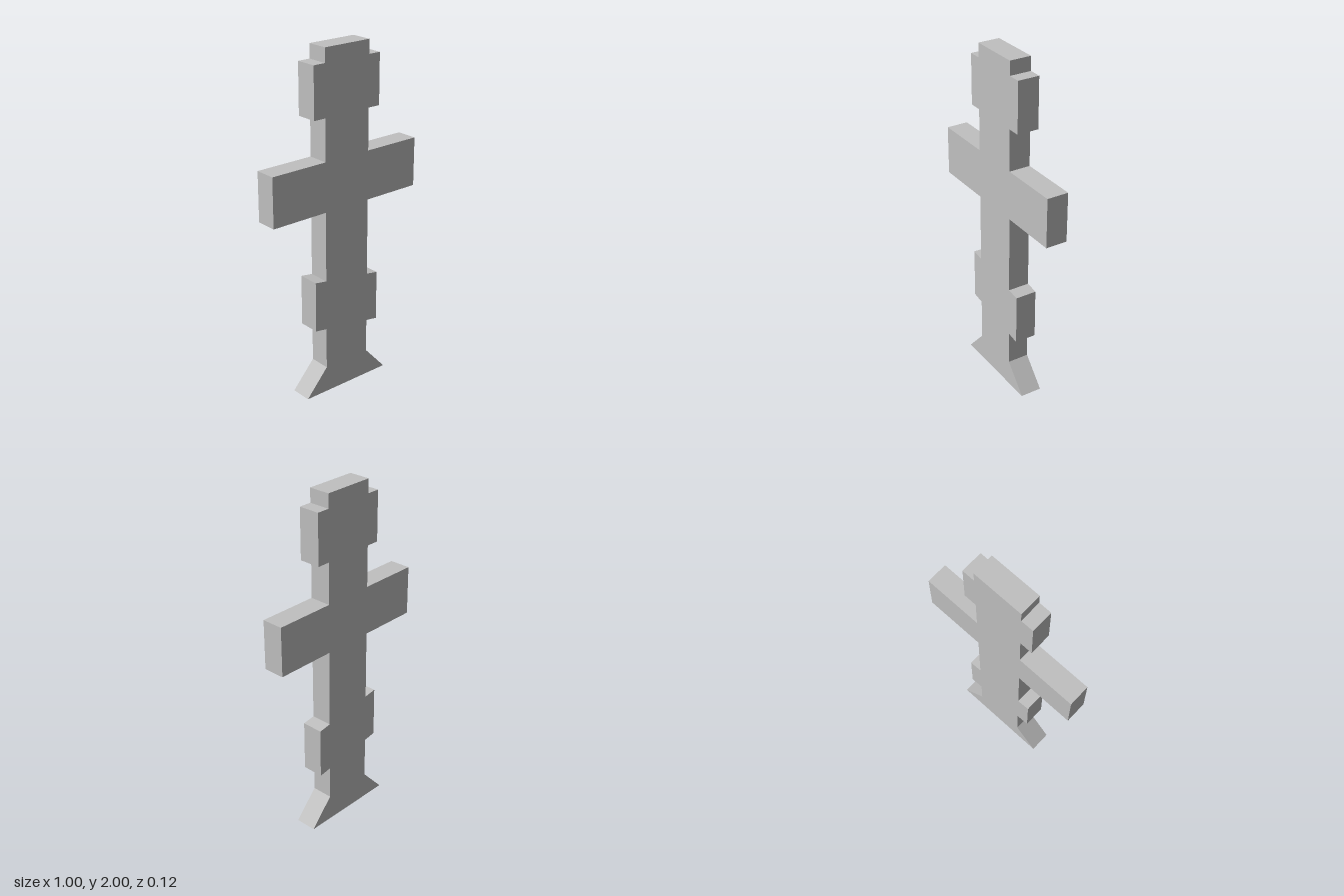
import * as THREE from 'three';

const DEPTH = 0.125;
const POST = 0.15; // half width of the upright
const STUB = 0.225; // half width of the short bars
const ARM = 0.5; // half width of the main crossbar

export function createModel() {
  const model = new THREE.Group();
  model.name = 'cross';
  const stone = new THREE.MeshStandardMaterial({ color: 0xc0c0c0 });
  stone.name = 'grey stone';

  // The slanted footrest falls evenly from -x to +x
  const slant = (x, y) => [x, y - 0.155 * x];

  // One side of the outline from the foot to the top; s is +1 or -1
  const side = (s) => [
    [s * 0.29, 0], [s * POST, 0.155],
    slant(s * POST, 0.378), slant(s * STUB, 0.378),
    slant(s * STUB, 0.675), slant(s * POST, 0.675),
    [s * POST, 1.105], [s * ARM, 1.105], [s * ARM, 1.39], [s * POST, 1.39],
    [s * POST, 1.63], [s * STUB, 1.63], [s * STUB, 1.92], [s * POST, 1.92],
    [s * POST, 2],
  ];

  // Flat slab cut to the whole outline
  const outline = [...side(1), ...side(-1).reverse()];
  const shape = new THREE.Shape(outline.map(([x, y]) => new THREE.Vector2(x, y)));
  const geometry = new THREE.ExtrudeGeometry(shape, { depth: DEPTH, bevelEnabled: false });
  geometry.translate(0, 0, -DEPTH / 2);

  const slab = new THREE.Mesh(geometry, stone);
  slab.name = 'crossSlab';
  model.add(slab);
  return model;
}
